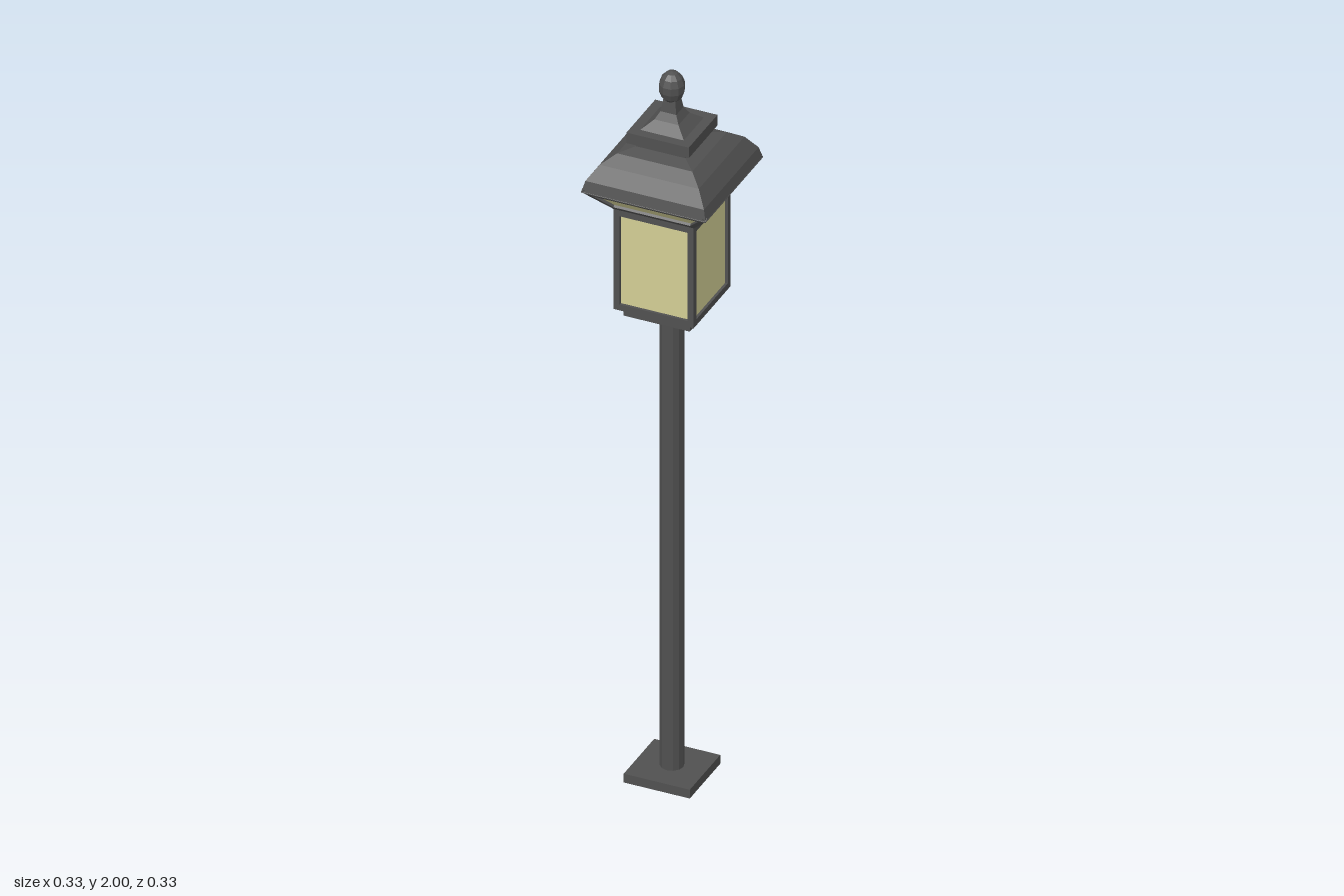
import * as THREE from 'three';

const metal = new THREE.MeshStandardMaterial({ color: 0x505050, flatShading: true });
const glass = new THREE.MeshStandardMaterial({ color: 0xd2ce94, flatShading: true });

function add(parent, name, geometry, material = metal) {
  const mesh = new THREE.Mesh(geometry, material);
  mesh.name = name;
  parent.add(mesh);
  return mesh;
}

// Square solid from [half width, height] pairs, listed bottom to top
function squareLathe(profile) {
  const points = profile.map(([half, y]) => new THREE.Vector2(half * Math.SQRT2, y));
  return new THREE.LatheGeometry(points, 4, Math.PI / 4);
}

function slab(half, bottom, top) {
  return new THREE.BoxGeometry(half * 2, top - bottom, half * 2).translate(0, (bottom + top) / 2, 0);
}

// Trapezoid outline standing on its lower edge
function trapezoid(Type, bottomHalf, topHalf, y0, y1) {
  return new Type([
    new THREE.Vector2(-bottomHalf, y0), new THREE.Vector2(bottomHalf, y0),
    new THREE.Vector2(topHalf, y1), new THREE.Vector2(-topHalf, y1),
  ]);
}

// Window frame leaning out from bottomHalf at y0 to topHalf at y1
function windowFrame(bottomHalf, topHalf, y0, y1, border, depth) {
  const run = topHalf - bottomHalf;
  const length = Math.hypot(run, y1 - y0);
  const halfAt = (h) => bottomHalf + (run * h) / length;
  const shape = trapezoid(THREE.Shape, bottomHalf, topHalf, 0, length);
  const low = border, high = length - border;
  shape.holes.push(trapezoid(THREE.Path, halfAt(low) - border, halfAt(high) - border, low, high));
  return new THREE.ExtrudeGeometry(shape, { depth, bevelEnabled: false })
    .translate(0, 0, -depth)
    .rotateX(Math.atan2(run, y1 - y0))
    .translate(0, y0, bottomHalf);
}

export function createModel() {
  const model = new THREE.Group();
  model.name = 'lampPost';

  // Post
  add(model, 'basePlate', slab(0.088, 0, 0.025));
  add(model, 'pole', new THREE.CylinderGeometry(0.03, 0.03, 1.31, 12).translate(0, 0.68, 0));

  // Lantern
  const lantern = new THREE.Group();
  lantern.name = 'lantern';
  model.add(lantern);
  add(lantern, 'lanternPlate', slab(0.088, 1.33, 1.357));
  add(lantern, 'lanternFloor', slab(0.1, 1.355, 1.365));
  add(lantern, 'glassPanes', squareLathe([
    [0, 1.362], [0.1, 1.362], [0.1, 1.642], [0.158, 1.707], [0, 1.707],
  ]), glass);

  const lower = windowFrame(0.107, 0.107, 1.355, 1.64, 0.017, 0.012);
  const upper = windowFrame(0.107, 0.166, 1.64, 1.706, 0.015, 0.01);
  for (let i = 0; i < 4; i++) {
    add(lantern, 'windowFrame', lower).rotation.y = (i * Math.PI) / 2;
    add(lantern, 'flaredFrame', upper).rotation.y = (i * Math.PI) / 2;
  }

  // Domed square roof
  add(model, 'roof', squareLathe([
    [0, 1.704], [0.166, 1.704], [0.158, 1.735], [0.132, 1.773],
    [0.1, 1.796], [0.066, 1.806], [0.066, 1.822], [0, 1.822],
  ]));

  // Cap with a concave spire
  add(model, 'capPlate', slab(0.083, 1.82, 1.85));
  add(model, 'spire', squareLathe([
    [0, 1.848], [0.058, 1.85], [0.032, 1.872], [0.021, 1.892], [0.016, 1.925], [0, 1.925],
  ]));

  // Finial
  add(model, 'finial', new THREE.SphereGeometry(0.033, 10, 7).scale(1, 1.32, 1).translate(0, 1.9564, 0));

  return model;
}
